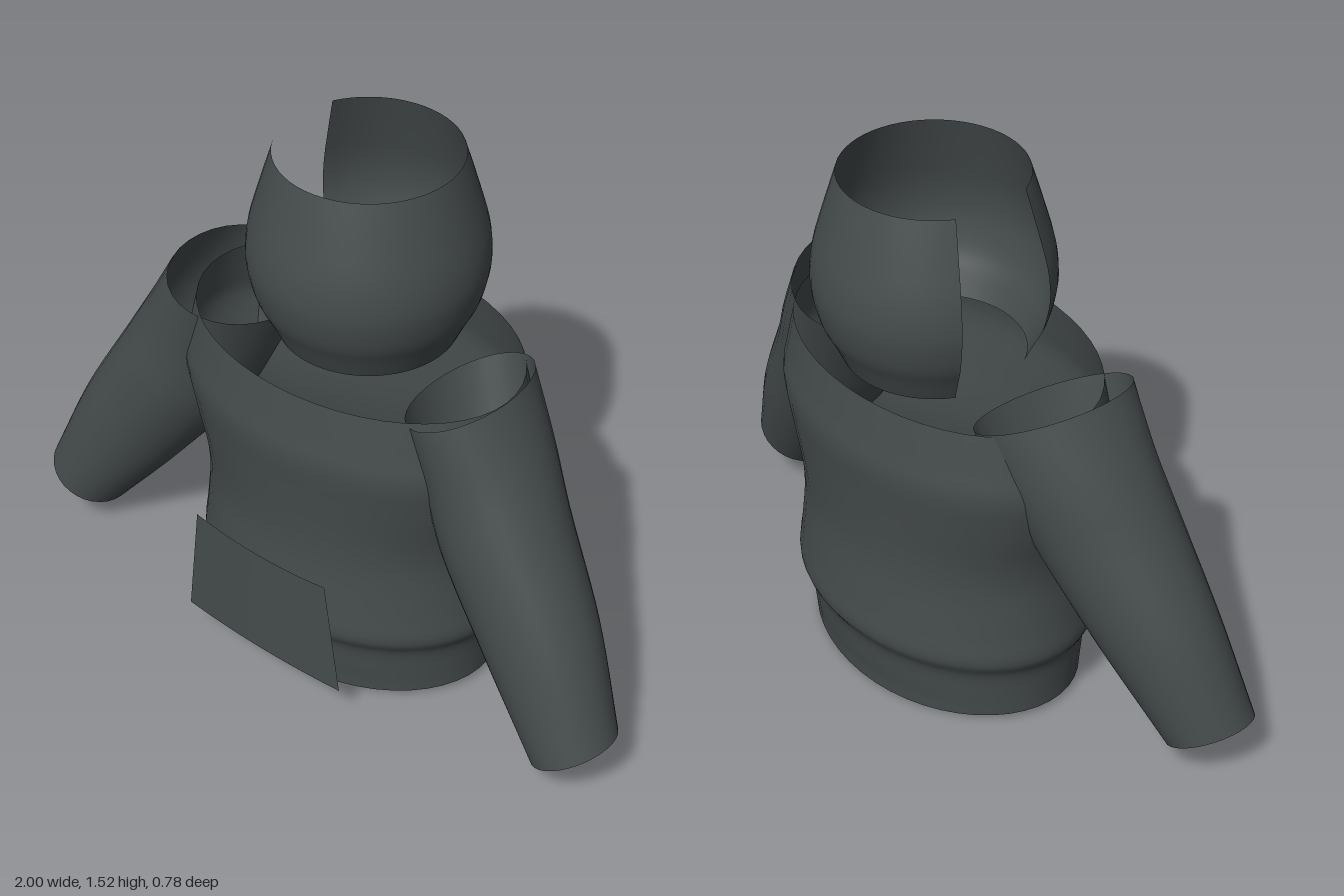
import * as THREE from 'three';

const cloth = new THREE.MeshStandardMaterial({ color: 0x454b4b, side: THREE.DoubleSide });
cloth.name = 'charcoal cloth';

// Surface over a grid: point(u, v) gives a Vector3, u runs along and v runs around
function surface(name, point, rows, cols, closed) {
  const pos = [], index = [];
  const stride = closed ? cols : cols + 1;
  for (let i = 0; i <= rows; i++) {
    for (let j = 0; j < stride; j++) pos.push(...point(i / rows, j / cols).toArray());
  }
  for (let i = 0; i < rows; i++) {
    for (let j = 0; j < cols; j++) {
      const k = (j + 1) % stride;
      const a = i * stride + j, b = i * stride + k;
      const c = a + stride, d = b + stride;
      index.push(a, b, d, a, d, c);
    }
  }
  const geo = new THREE.BufferGeometry();
  geo.setAttribute('position', new THREE.Float32BufferAttribute(pos, 3));
  geo.setIndex(index);
  geo.computeVertexNormals();
  const mesh = new THREE.Mesh(geo, cloth);
  mesh.name = name;
  return mesh;
}

const spline = (points) => new THREE.CatmullRomCurve3(points.map((p) => new THREE.Vector3(...p)));

// Torso: oval rings, each listed as [x radius, height, z radius]
function makeTorso() {
  const profile = spline([
    [0.445, 0.02, 0.31], [0.447, 0.08, 0.32], [0.455, 0.165, 0.333], [0.48, 0.22, 0.36],
    [0.472, 0.31, 0.353], [0.462, 0.45, 0.34], [0.475, 0.55, 0.342], [0.515, 0.68, 0.353],
    [0.54, 0.8, 0.364], [0.525, 0.88, 0.352], [0.5, 0.985, 0.335],
  ]);
  return surface('torso', (u, v) => {
    const r = profile.getPoint(u), a = v * Math.PI * 2;
    const sag = u === 0 ? 0.02 * Math.cos(a) ** 2 : 0; // hem dips at front and back
    return new THREE.Vector3(Math.sin(a) * r.x, r.y - sag, Math.cos(a) * r.z - 0.025);
  }, 40, 48, true);
}

// Hood: a bulging band with its opening toward -x
function makeHood() {
  const profile = spline([
    [0.245, 0.985, 0], [0.275, 1.05, 0], [0.3, 1.1, 0], [0.317, 1.165, 0], [0.323, 1.22, 0],
    [0.315, 1.3, 0], [0.288, 1.4, 0], [0.264, 1.48, 0], [0.25, 1.525, 0],
  ]);
  const gap = THREE.MathUtils.degToRad(27);
  return surface('hood', (u, v) => {
    const r = profile.getPoint(u);
    const a = -Math.PI / 2 + gap + v * (Math.PI * 2 - gap * 2);
    return new THREE.Vector3(Math.sin(a) * r.x, r.y, Math.cos(a) * r.x - 0.065);
  }, 24, 48, false);
}

// Sleeve: oval tube from shoulder to cuff, between an outer and an inner line
function makeSleeve(side) {
  const outer = spline([[0.55, 1.05, 0], [0.65, 0.88, 0.02], [0.735, 0.73, 0.05],
    [0.885, 0.465, 0.092], [1, 0.195, 0.14]]);
  const inner = spline([[0.25, 0.92, 0], [0.32, 0.74, 0.02], [0.4, 0.565, 0.05],
    [0.58, 0.32, 0.092], [0.785, 0.075, 0.14]]);
  const depth = spline([[0.22, 0, 0], [0.2, 0, 0], [0.185, 0, 0], [0.158, 0, 0], [0.125, 0, 0]]);
  return surface(side > 0 ? 'leftSleeve' : 'rightSleeve', (u, v) => {
    const o = outer.getPoint(u), n = inner.getPoint(u);
    const mid = o.clone().add(n).multiplyScalar(0.5);
    const half = o.clone().sub(mid);
    const a = -side * v * Math.PI * 2;
    const twist = 0.15 * (1 - u) * Math.sin(a); // shoulder rim leans up at the front
    const p = mid.addScaledVector(half, Math.cos(a) + twist);
    p.z += Math.sin(a) * depth.getPoint(u).x;
    p.x *= side;
    return p;
  }, 24, 32, true);
}

// Front pocket: a slightly curved trapezoid standing off the belly
function makePocket() {
  return surface('frontPocket', (u, v) => {
    const s = v * 2 - 1;
    const x = s * THREE.MathUtils.lerp(0.275, 0.23, u) - 0.005 * u;
    return new THREE.Vector3(x, 0.117 + u * (0.338 + 0.006 * s * s), 0.388 - 0.012 * s * s);
  }, 2, 10, false);
}

export function createModel() {
  const model = new THREE.Group();
  model.name = 'hoodedTop';
  model.add(makeTorso(), makeHood(), makeSleeve(1), makeSleeve(-1), makePocket());
  return model;
}
